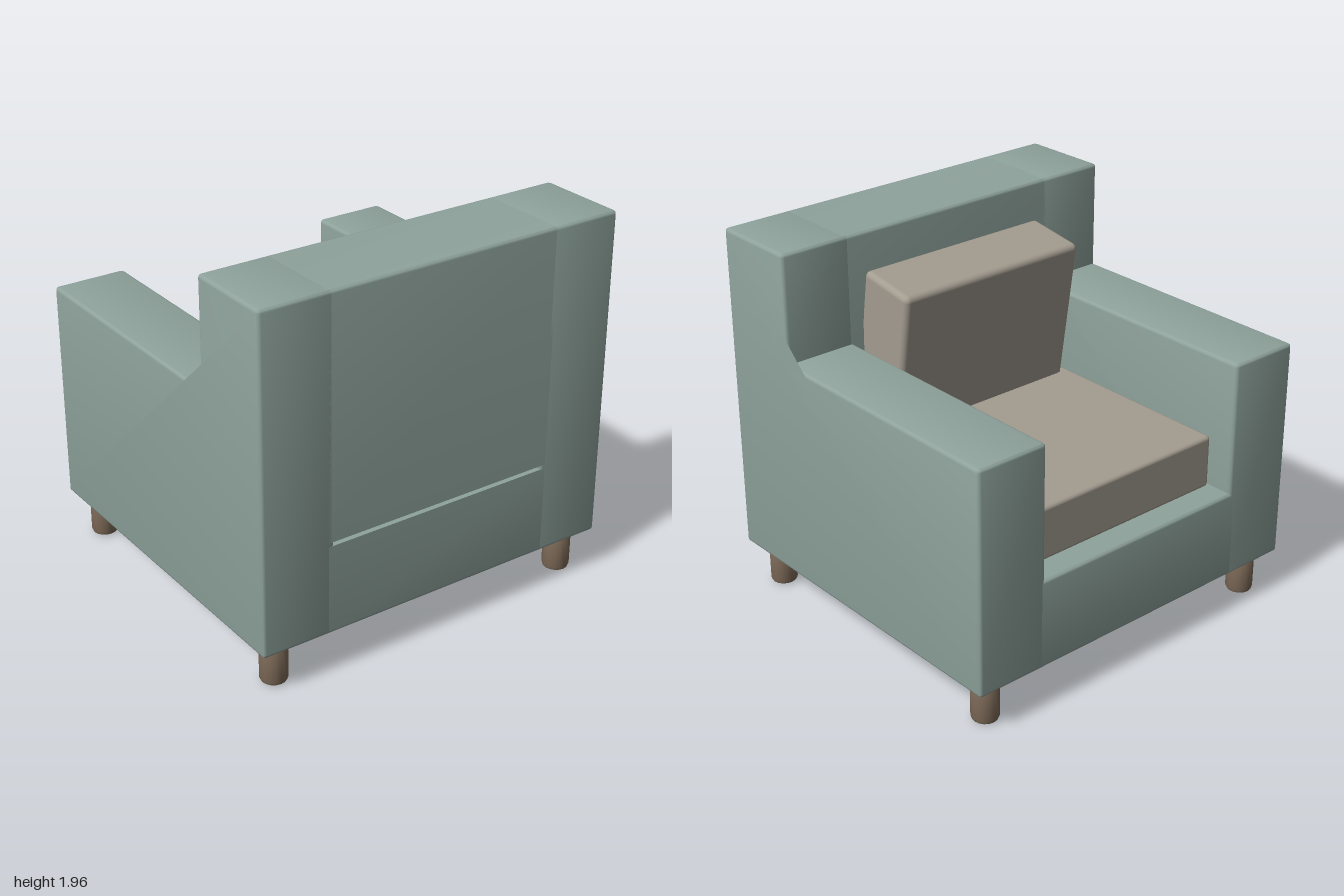
import * as THREE from 'three';
import { toCreasedNormals } from 'three/addons/utils/BufferGeometryUtils.js';
import { RoundedBoxGeometry } from 'three/addons/geometries/RoundedBoxGeometry.js';

const R = 0.018; // edge rounding of the upholstery

const mat = (color) => new THREE.MeshStandardMaterial({ color });

// Side outline through [z, y, rounded] corners
function outline(corners) {
  const shape = new THREE.Shape();
  const n = corners.length;
  corners.forEach(([z, y, rounded], i) => {
    const p = new THREE.Vector2(z, y);
    const toward = (q) => new THREE.Vector2(q[0], q[1]).sub(p).setLength(rounded ? R : 0).add(p);
    const a = toward(corners[(i + n - 1) % n]);
    const b = toward(corners[(i + 1) % n]);
    if (i === 0) shape.moveTo(a.x, a.y);
    else shape.lineTo(a.x, a.y);
    if (rounded) shape.quadraticCurveTo(p.x, p.y, b.x, b.y);
  });
  shape.closePath();
  return shape;
}

// Extrude a side outline across x, centred on x = 0
function across(corners, width, bevel) {
  const geo = new THREE.ExtrudeGeometry(outline(corners), {
    depth: width - 2 * bevel, curveSegments: 3, bevelEnabled: bevel > 0,
    bevelThickness: bevel, bevelSize: bevel, bevelOffset: -bevel, bevelSegments: 3,
  });
  geo.translate(0, 0, -(width - 2 * bevel) / 2);
  geo.rotateY(-Math.PI / 2);
  return toCreasedNormals(geo, 0.7);
}

export function createModel() {
  const chair = new THREE.Group();
  chair.name = 'armchair';
  const fabric = mat(0x8fa39c);
  const cushionFabric = mat(0xa39c90);
  const wood = mat(0x7d6a58);

  const add = (name, geo, material, x = 0, y = 0, z = 0) => {
    const mesh = new THREE.Mesh(geo, material);
    mesh.name = name;
    mesh.position.set(x, y, z);
    chair.add(mesh);
    return mesh;
  };

  // Side panels: armrest, base side and end of the backrest in one outline
  const side = across([
    [-0.94, 0.23, true], [0.94, 0.23, true], [0.94, 1.96, true],
    [0.46, 1.96, true], [0.46, 1.4, false], [-0.94, 1.4, true],
  ], 0.39, R);
  for (const s of [-1, 1]) add(s > 0 ? 'leftArm' : 'rightArm', side, fabric, s * 0.805);

  // Middle sections run slightly into the side panels
  add('seatBase', across([
    [-0.94, 0.23, true], [0.94, 0.23, true], [0.94, 0.7, false], [-0.94, 0.7, true],
  ], 1.28, 0), fabric);

  // The backrest leaves a narrow slot above the base
  add('backrest', across([
    [0.46, 0.72, false], [0.94, 0.72, false], [0.94, 1.96, true], [0.46, 1.96, true],
  ], 1.28, 0), fabric);

  // Cushions
  add('seatCushion', new RoundedBoxGeometry(1.19, 0.28, 1.25, 3, 0.02), cushionFabric, 0, 0.84, -0.185);
  const pillow = add('backCushion', new RoundedBoxGeometry(1.1, 0.78, 0.335, 3, 0.03), cushionFabric, 0, 1.364, 0.33);
  pillow.rotation.x = -0.148;

  // Legs: round posts with softened ends
  const legProfile = [[0, 0], [0.05, 0], [0.064, 0.008], [0.07, 0.025], [0.07, 0.205], [0.062, 0.222], [0.05, 0.232], [0, 0.232]]
    .map(([r, y]) => new THREE.Vector2(r, y));
  const leg = toCreasedNormals(new THREE.LatheGeometry(legProfile, 16), 0.6);
  for (const x of [-0.867, 0.867]) {
    for (const z of [-0.815, 0.815]) {
      add(`${z < 0 ? 'front' : 'back'}${x > 0 ? 'Left' : 'Right'}Leg`, leg, wood, x, 0, z);
    }
  }
  return chair;
}
